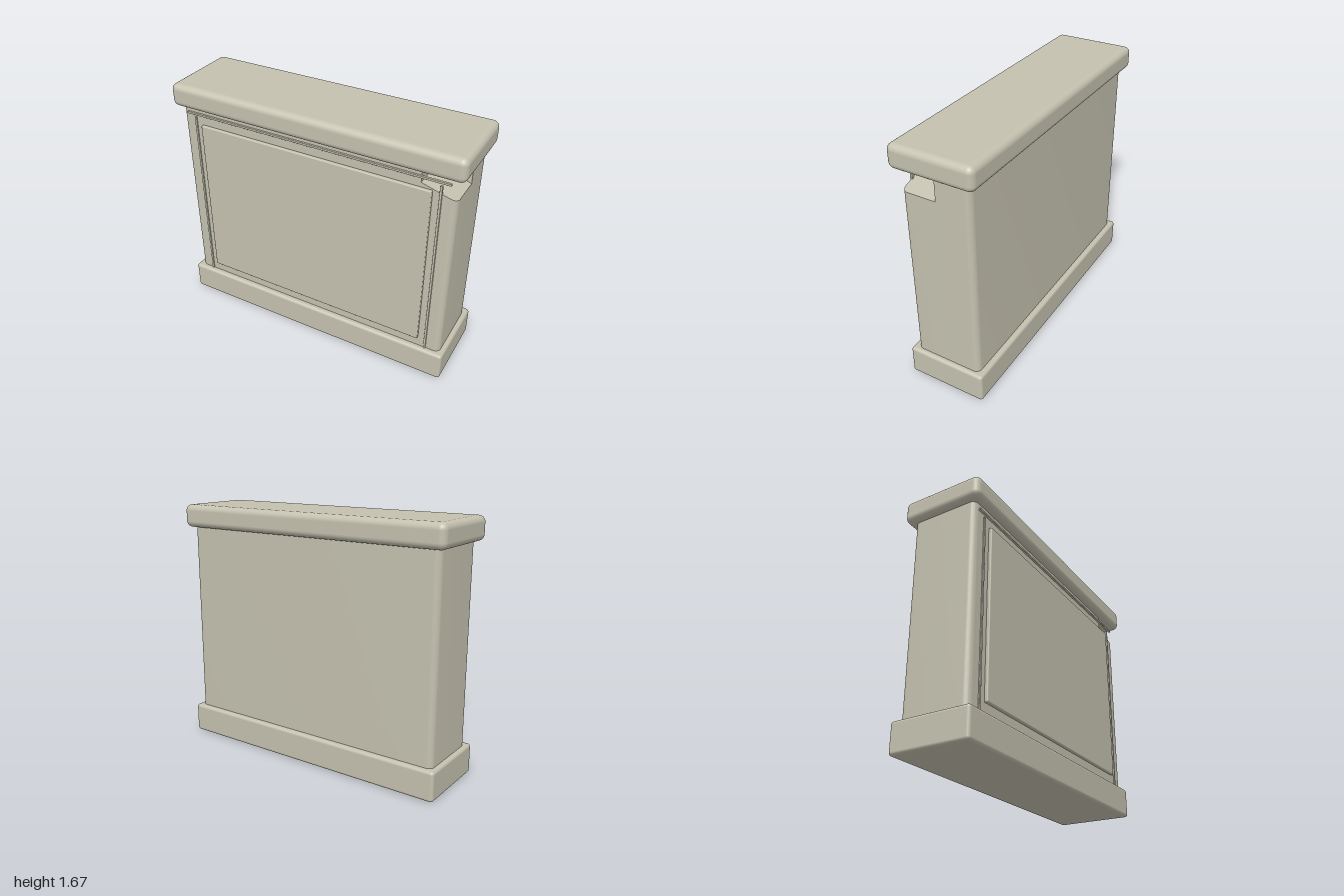
import * as THREE from 'three';
import { toCreasedNormals } from 'three/addons/utils/BufferGeometryUtils.js';
import { RoundedBoxGeometry } from 'three/addons/geometries/RoundedBoxGeometry.js';

export function createModel() {
  const model = new THREE.Group();
  const stone = new THREE.MeshStandardMaterial({ color: 0xc4c1af });

  const add = (name, geometry) => {
    const mesh = new THREE.Mesh(geometry, stone);
    mesh.name = name;
    model.add(mesh);
    return mesh;
  };

  // Rounded block given by its ranges on each axis
  const block = (name, [x0, x1], [y0, y1], [z0, z1], radius) => {
    const g = new RoundedBoxGeometry(x1 - x0, y1 - y0, z1 - z0, 4, radius);
    g.translate((x0 + x1) / 2, (y0 + y1) / 2, (z0 + z1) / 2);
    return add(name, g);
  };

  // Footprint (x, -z) raised between two heights
  const raise = (shape, y0, y1) => {
    const g = new THREE.ExtrudeGeometry(shape, { depth: y1 - y0, bevelEnabled: false, curveSegments: 6 });
    g.rotateX(-Math.PI / 2);
    g.translate(0, y0, 0);
    return g;
  };

  const W = 0.953, D = 0.23, R = 0.04, notchX = 0.73;

  // Base and top slab
  block('base', [-0.985, 0.985], [0, 0.2], [-0.267, 0.267], 0.02);
  block('topSlab', [-1, 1], [1.52, 1.675], [-0.28, 0.28], 0.042);

  // Main body, its front left corner left out
  const body = new THREE.Shape();
  body.moveTo(-W + R, -D);
  body.lineTo(notchX, -D);
  body.lineTo(notchX, 0);
  body.lineTo(W, 0);
  body.absarc(W - R, D - R, R, 0, Math.PI / 2);
  body.absarc(-W + R, D - R, R, Math.PI / 2, Math.PI);
  body.absarc(-W + R, -D + R, R, Math.PI, Math.PI * 1.5);
  add('body', toCreasedNormals(raise(body, 0.18, 1.54), 0.6));

  // Corner post, stopping short of the slab with a sloping broken top
  const post = new THREE.Shape();
  post.moveTo(notchX, 0);
  post.lineTo(notchX, -D);
  post.absarc(W - R, -D + R, R, -Math.PI / 2, 0);
  post.lineTo(W, 0);
  const postGeometry = raise(post, 0.18, 1.44);
  const p = postGeometry.attributes.position;
  for (let i = 0; i < p.count; i++) {
    if (p.getY(i) > 1) p.setY(i, 1.44 - (p.getX(i) - notchX) * 0.3);
  }
  postGeometry.computeVertexNormals();
  add('brokenCorner', toCreasedNormals(postGeometry, 0.6));

  // Raised front panel
  block('frontPanel', [-0.803, 0.803], [0.27, 1.41], [0.22, 0.252], 0.007);

  // Thin trim: a rod down each side and one across the top
  for (const side of [-1, 1]) {
    const x = side * 0.853;
    block(side > 0 ? 'leftTrim' : 'rightTrim', [x - 0.008, x + 0.008], [0.19, 1.457], [0.222, 0.238], 0.003);
  }
  block('topTrim', [-0.912, 0.912], [1.473, 1.488], [0.226, 0.243], 0.003);

  return model;
}
